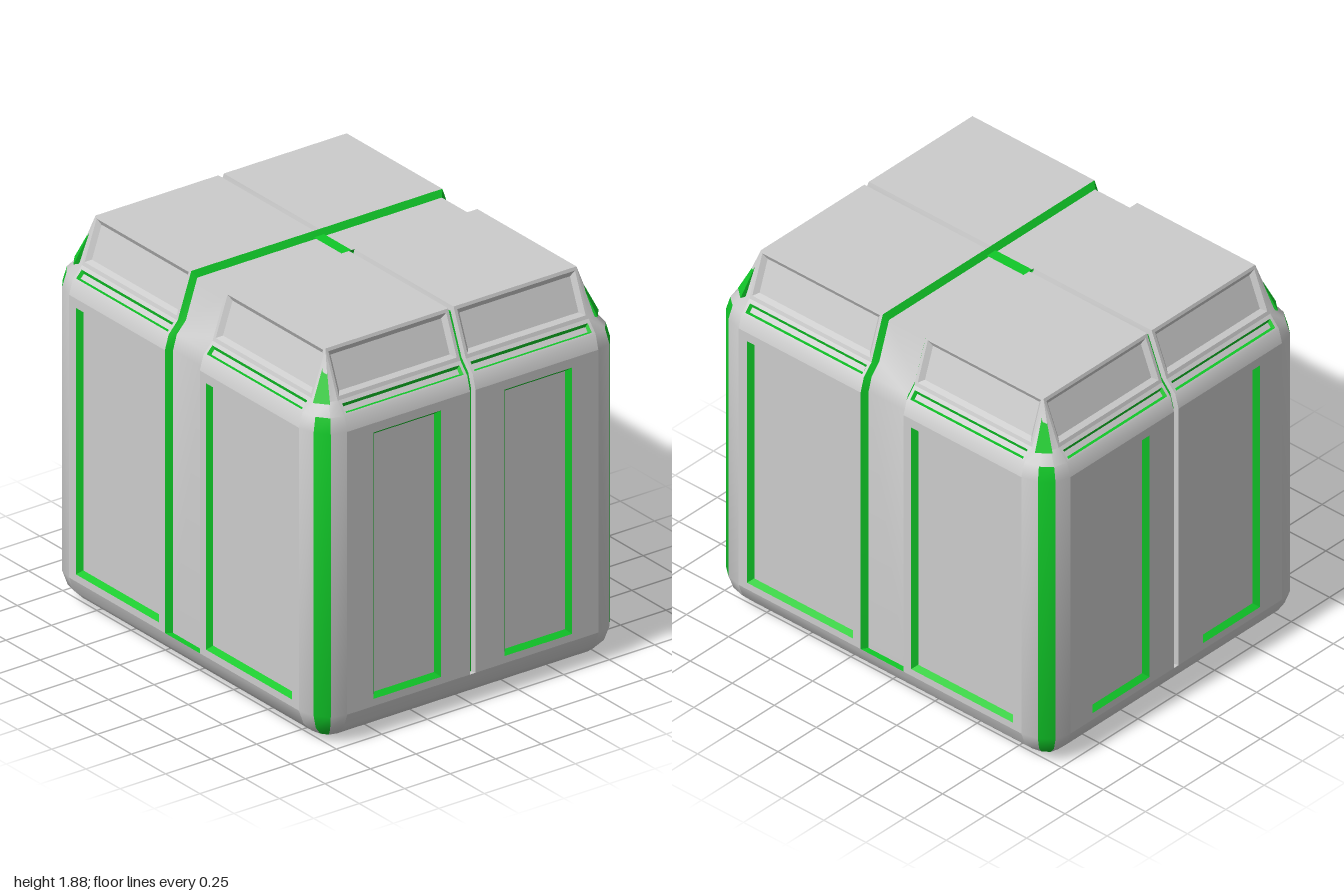
import * as THREE from 'three';
import { toCreasedNormals } from 'three/addons/utils/BufferGeometryUtils.js';

const GREY = 0xcccccc, GREEN = 0x10c828;
const CX = 0.69, CZ = 0.84; // where the flat faces end and the corners begin
// Outline levels: height, half width (x), half depth (z)
const LEVELS = [
  [0, 0.69, 0.85], [0.03, 0.76, 0.925], [0.08, 0.81, 0.975], [0.15, 0.835, 1],
  [1.53, 0.835, 1], [1.6, 0.815, 0.98], [1.655, 0.765, 0.93], [1.875, 0.69, 0.84],
];
const CORNER = [[1, 0], [0.86, 0.5], [0.52, 0.875], [0, 1]];
const GROOVE = 0.015;                         // half width of the front groove
const bandEdge = (sz) => (sz > 0 ? 0.115 : 0.14); // edges of the wide side channel
const V = (x, y, z) => new THREE.Vector3(x, y, z);

export function createModel() {
  const group = new THREE.Group();
  const parts = new Map();
  const centre = V(0, 0.9, 0);

  // Collects triangles per part, turned to face outward
  function tri(name, color, a, b, c) {
    const n = b.clone().sub(a).cross(c.clone().sub(a));
    if (n.length() < 1e-8) return;
    const mid = a.clone().add(b).add(c).divideScalar(3).sub(centre);
    if (!parts.has(name)) parts.set(name, { color, data: [] });
    const order = n.dot(mid) < 0 ? [a, c, b] : [a, b, c];
    order.forEach((p) => parts.get(name).data.push(p.x, p.y, p.z));
  }
  function quad(name, color, a, b, c, d) {
    tri(name, color, a, b, c);
    tri(name, color, a, c, d);
  }

  // Maps (along, up, depth) onto the flat face between two levels
  function face(axis, sx, sz, A, B) {
    const k = axis === 'x' ? 1 : 2;
    const dy = B[0] - A[0], dOut = B[k] - A[k], len = Math.hypot(dy, dOut);
    const at = (u, v, d = 0) => {
      const out = A[k] + (dOut * v - dy * d) / len;
      const y = A[0] + (dy * v + dOut * d) / len;
      return axis === 'x' ? V(sx * out, y, sz * u) : V(sx * u, y, sz * out);
    };
    at.len = len;
    return at;
  }

  // Flat face with an optional recessed panel: surround, sloping edge, floor
  function panel(at, u0, u1, body, inset) {
    const rect = (a, b, c, d, depth) => [at(a, c, depth), at(b, c, depth), at(b, d, depth), at(a, d, depth)];
    const outer = rect(u0, u1, 0, at.len, 0);
    if (!inset) return quad(body, GREY, ...outer);
    const [a, b, c, d] = inset.rect, t = inset.taper;
    const hole = rect(a, b, c, d, 0);
    const floor = rect(a + t, b - t, c + t, d - t, inset.depth);
    for (let i = 0; i < 4; i++) {
      const j = (i + 1) % 4;
      quad(body, GREY, outer[i], outer[j], hole[j], hole[i]);
      quad(inset.name + 'Edge', inset.color, hole[i], hole[j], floor[j], floor[i]);
    }
    quad(inset.name, GREY, ...floor);
  }

  // Rounded lower rim along the flat sides
  for (let i = 0; i < 3; i++) {
    const [A, B] = [LEVELS[i], LEVELS[i + 1]];
    for (const s of [1, -1]) {
      const f = face('z', 1, s, A, B), g = face('x', s, 1, A, B);
      quad('lowerRim', GREY, f(-CX, 0), f(CX, 0), f(CX, f.len), f(-CX, f.len));
      quad('lowerRim', GREY, g(-CZ, 0), g(CZ, 0), g(CZ, g.len), g(-CZ, g.len));
    }
  }

  for (const sx of [1, -1]) for (const sz of [1, -1]) {
    // Rounded corner with a coloured strip down its middle
    const ring = ([y, hx, hz]) => CORNER.map(([a, b]) => V(sx * (CX + a * (hx - CX)), y, sz * (CZ + b * (hz - CZ))));
    for (let i = 0; i < LEVELS.length - 1; i++) {
      const lo = ring(LEVELS[i]), hi = ring(LEVELS[i + 1]);
      for (let k = 0; k < 3; k++) {
        const strip = k === 1 && i < 5;
        quad(strip ? 'cornerStrip' : 'cornerShell', strip ? GREEN : GREY, lo[k], lo[k + 1], hi[k + 1], hi[k]);
      }
    }

    // Lid corner gusset
    const g = [[0.692, 1.84, 0.845], [0.785, 1.65, 0.875], [0.735, 1.65, 0.935], [0.69, 1.65, 0.84]]
      .map(([x, y, z]) => V(sx * x, y, sz * z));
    tri('cornerGusset', GREEN, g[0], g[1], g[2]);
    tri('cornerGusset', GREEN, g[0], g[1], g[3]);
    tri('cornerGusset', GREEN, g[0], g[2], g[3]);
    tri('cornerGusset', GREEN, g[1], g[2], g[3]);

    // Walls, shoulders and lid slopes of this quarter
    for (const axis of ['z', 'x']) {
      const u0 = axis === 'z' ? GROOVE : bandEdge(sz);
      const u1 = axis === 'z' ? CX : CZ;
      const span = axis === 'z' ? [0.175, 0.545] : [u0 + 0.045, 0.79];
      const at = (i) => face(axis, sx, sz, LEVELS[i], LEVELS[i + 1]);
      panel(at(3), u0, u1, 'wall', { rect: [...span, 0.035, 1.335], taper: 0.02, depth: 0.025, color: GREEN, name: 'wallPanel' });
      panel(at(4), u0, u1, 'shoulder');
      panel(at(5), u0, u1, 'shoulder', { rect: [u0 + 0.015, u1 - 0.015, 0.01, 0.056], taper: 0.01, depth: 0.015, color: GREEN, name: 'shoulderSlot' });
      panel(at(6), u0, u1, 'lidSlope', { rect: [u0 + 0.015, u1 - 0.012, 0.018, 0.222], taper: 0.02, depth: 0.02, color: GREY, name: 'lidPanel' });
    }

    // Roof quarter
    const y = 1.875, z0 = bandEdge(sz);
    quad('roof', GREY, V(sx * GROOVE, y, sz * z0), V(sx * CX, y, sz * z0), V(sx * CX, y, sz * CZ), V(sx * GROOVE, y, sz * CZ));
  }

  // Sunken channel following an outline: pairs of (out, y) at the surface and below it
  function channel(k, depth, end, put, lo, hi, taper, name, floorColor, edgeColor) {
    const path = LEVELS.slice(3).map((l) => [l[k], l[0], l[k] - depth, l[0]]);
    const last = path[path.length - 1];
    last[2] = last[0] - depth * 0.6;
    last[3] = last[1] - depth;
    path.push([end, last[1], end, last[3]]);
    const rows = path.map(([o, y, oi, yi]) => [
      put(o, y, lo), put(oi, yi, lo + taper), put(oi, yi, hi - taper), put(o, y, hi)]);
    for (let i = 0; i < rows.length - 1; i++) {
      const [a, b] = [rows[i], rows[i + 1]];
      quad(name + 'Edge', edgeColor, a[0], a[1], b[1], b[0]);
      quad(name + 'Floor', floorColor, a[1], a[2], b[2], b[1]);
      quad(name + 'Edge', edgeColor, a[2], a[3], b[3], b[2]);
    }
    quad(name + 'Edge', edgeColor, ...rows[0]);
  }
  for (const s of [1, -1]) {
    channel(1, 0.03, 0, (o, y, w) => V(s * o, y, w), -bandEdge(-1), bandEdge(1), 0.02, 'sideChannel', GREY, GREEN);
    channel(2, 0.025, bandEdge(s), (o, y, w) => V(w, y, s * o), -GROOVE, GROOVE, 0.006, 'centreGroove', GREEN, GREY);
  }

  // Coloured bar crossing the roof channel
  const bar = [[-1, -0.13], [1, -0.13], [1, 0.105], [-1, 0.105]].map(([s, z]) => V(s * 0.028, 1.852, z));
  quad('roofCrossBar', GREEN, ...bar);

  for (const [name, { color, data }] of parts) {
    const geo = new THREE.BufferGeometry();
    geo.setAttribute('position', new THREE.Float32BufferAttribute(data, 3));
    const material = new THREE.MeshStandardMaterial({ color, side: THREE.DoubleSide });
    const mesh = new THREE.Mesh(toCreasedNormals(geo, 0.6), material);
    mesh.name = name;
    group.add(mesh);
  }
  return group;
}
